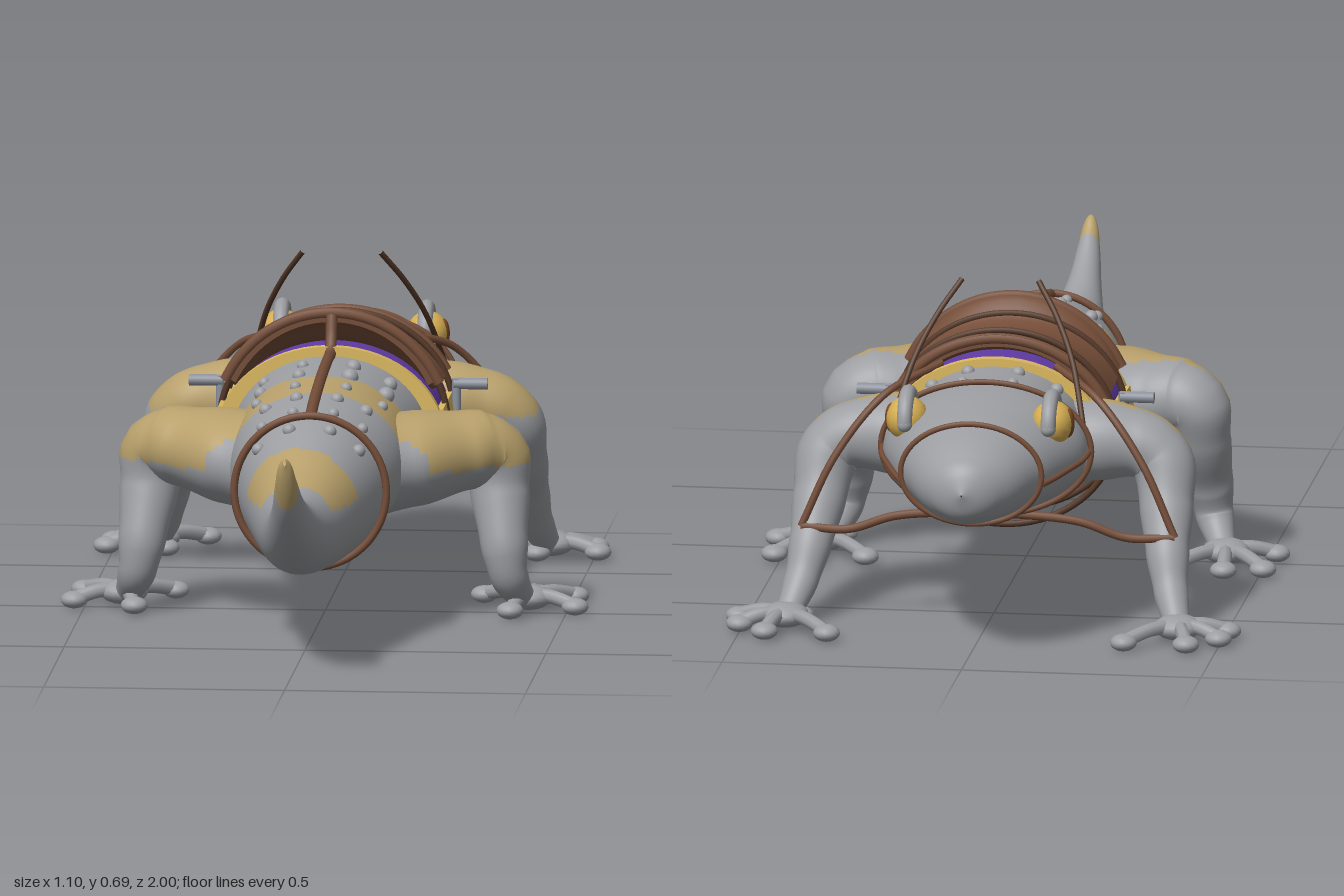
import * as THREE from 'three';
import { toCreasedNormals } from 'three/addons/utils/BufferGeometryUtils.js';

const mat = (name, color) => {
  const m = new THREE.MeshStandardMaterial({ color });
  m.name = name;
  return m;
};
const V = (x, y, z) => new THREE.Vector3(x, y, z);

// Body stations: z, half width, top, bottom
const STATIONS = [
  [-1, 0.002, 0.372, 0.368], [-0.985, 0.042, 0.412, 0.328], [-0.95, 0.085, 0.444, 0.302],
  [-0.85, 0.142, 0.482, 0.28], [-0.75, 0.182, 0.5, 0.264], [-0.64, 0.212, 0.512, 0.25],
  [-0.5, 0.193, 0.515, 0.228], [-0.36, 0.206, 0.516, 0.18], [-0.2, 0.21, 0.514, 0.168],
  [0, 0.19, 0.508, 0.184], [0.2, 0.182, 0.49, 0.178], [0.37, 0.15, 0.462, 0.16],
  [0.5, 0.12, 0.423, 0.165], [0.6, 0.098, 0.388, 0.176], [0.7, 0.076, 0.365, 0.196],
  [0.8, 0.054, 0.37, 0.24], [0.9, 0.034, 0.412, 0.31], [0.96, 0.023, 0.459, 0.378],
  [0.99, 0.013, 0.485, 0.437], [1, 0.003, 0.483, 0.47],
];
const spline = new THREE.CubicInterpolant(STATIONS.map((s) => s[0]), STATIONS.flatMap((s) => s.slice(1)), 3);
function section(z) {
  const [w, top, bottom] = spline.evaluate(z);
  return { w: Math.max(w, 0.001), cy: (top + bottom) / 2, h: Math.max((top - bottom) / 2, 0.001) };
}
const bodyPoint = (a, z, pad = 0) => {
  const s = section(z);
  return V((s.w + pad) * Math.cos(a), s.cy + (s.h + pad) * Math.sin(a), z);
};
const skinTop = (x, z) => {
  const s = section(z);
  return s.cy + s.h * Math.sqrt(Math.max(0, 1 - (x / s.w) ** 2));
};

// Surface closed in u, open in v; pick(point) gives each quad its material index
function loft(nu, nv, fn, pick = () => 0) {
  const pts = [], faces = [[], []];
  for (let j = 0; j <= nv; j++) for (let i = 0; i < nu; i++) pts.push(fn(i / nu, j / nv));
  for (let j = 0; j < nv; j++) for (let i = 0; i < nu; i++) {
    const k = (i + 1) % nu;
    const a = j * nu + i, b = j * nu + k, c = a + nu, d = b + nu;
    const mid = pts[a].clone().add(pts[d]).multiplyScalar(0.5);
    faces[pick(mid)].push(a, b, d, a, d, c);
  }
  const g = new THREE.BufferGeometry().setFromPoints(pts);
  g.setIndex([...faces[0], ...faces[1]]);
  g.addGroup(0, faces[0].length, 0);
  if (faces[1].length) g.addGroup(faces[0].length, faces[1].length, 1);
  g.computeVertexNormals();
  return g;
}

// Tapered limb along a path of [x, y, z, radius, depth factor along z]
function limb(path, s, pick) {
  const nv = 60, curve = new THREE.CatmullRomCurve3(path.map((p) => V(p[0] * s, p[1], p[2])));
  const frames = curve.computeFrenetFrames(nv);
  const center = (v) => curve.getPoint(v);
  return loft(40, nv, (u, v) => {
    const t = v * (path.length - 1), k = Math.min(Math.floor(t), path.length - 2);
    const blend = (i) => THREE.MathUtils.lerp(path[k][i], path[k + 1][i], THREE.MathUtils.smoothstep(t - k, 0, 1));
    const j = Math.round(v * nv), a = u * Math.PI * 2;
    const d = frames.normals[j].clone().multiplyScalar(Math.cos(a)).addScaledVector(frames.binormals[j], Math.sin(a));
    d.z *= blend(4);
    return center(v).addScaledVector(d, blend(3));
  }, pick);
}

export function createModel() {
  const root = new THREE.Group();
  root.name = 'saddledLizard';
  const skin = mat('skin grey', 0x9c9ea2), patch = mat('skin patch', 0xb8a06b);
  const trim = mat('blanket trim', 0xdcb960), cloth = mat('blanket purple', 0x5f3ba6);
  const leather = mat('saddle leather', 0x744d38), strapMat = mat('dark strap', 0x523626);
  const eyeMat = mat('eye yellow', 0xd6ae52), pupilMat = mat('pupil brown', 0x7a4a26);
  const metal = mat('stirrup metal', 0x8d929c);

  const add = (name, geo, m, parent = root) => {
    const mesh = new THREE.Mesh(geo, m);
    mesh.name = name;
    parent.add(mesh);
    return mesh;
  };
  const ball = (name, m, p, sx, sy, sz, parent) => {
    const b = add(name, new THREE.SphereGeometry(1, 16, 12), m, parent);
    b.position.copy(p);
    b.scale.set(sx, sy, sz);
  };
  const tube = (name, pts, r, m, closed = false, parent = root) =>
    add(name, new THREE.TubeGeometry(new THREE.CatmullRomCurve3(pts, closed), closed ? 72 : 36, r, 8, closed), m, parent);
  const ring = (name, r, m, fn) =>
    tube(name, Array.from({ length: 24 }, (_, i) => fn(i * Math.PI / 12)), r, m, true);

  // Body, head and tail with coloured patches
  const bodyPatch = (p) => {
    const hip = p.z > 0.08 - 0.25 * Math.abs(p.x) && p.z < 0.2 && p.y > 0.33;
    const tail = p.z > 0.5 + 0.2 * p.x && p.z < 0.66 + 0.2 * p.x && p.y > 0.32;
    return hip || tail || p.z > 0.955 ? 1 : 0;
  };
  add('body', loft(64, 220, (u, v) => bodyPoint(u * Math.PI * 2, -Math.cos(v * Math.PI)), bodyPatch), [skin, patch]);

  // Legs and feet
  const LEGS = [
    { name: 'hindLeg', palm: [0.42, -0.02],
      path: [[0.06, 0.32, 0.1, 0.11, 1.9], [0.19, 0.333, 0.07, 0.098, 1.5], [0.29, 0.344, 0.025, 0.083, 1.22],
        [0.35, 0.342, 0, 0.074, 1.05], [0.363, 0.26, 0.01, 0.062, 1], [0.375, 0.16, 0.05, 0.05, 1],
        [0.385, 0.09, 0.055, 0.04, 1], [0.41, 0.03, 0, 0.028, 1]],
      toes: [[0.32, -0.12], [0.43, -0.14], [0.51, -0.12], [0.52, 0.02], [0.39, 0.08]],
      pick: (p) => (p.z > 0.005 && p.z < 0.2 && p.y > 0.32 ? 1 : 0) },
    { name: 'frontLeg', palm: [0.41, -0.69],
      path: [[0.08, 0.35, -0.44, 0.1, 1.2], [0.21, 0.365, -0.45, 0.085, 1.05], [0.3, 0.36, -0.455, 0.072, 1],
        [0.347, 0.325, -0.465, 0.066, 1], [0.362, 0.24, -0.51, 0.056, 1], [0.372, 0.16, -0.57, 0.045, 1],
        [0.385, 0.09, -0.615, 0.036, 1], [0.405, 0.03, -0.67, 0.028, 1]],
      toes: [[0.31, -0.79], [0.44, -0.79], [0.5, -0.73], [0.51, -0.66], [0.385, -0.64]],
      pick: (p) => (p.z > -0.46 && p.y > 0.345 ? 1 : 0) },
  ];
  for (const s of [1, -1]) for (const leg of LEGS) {
    const g = new THREE.Group();
    g.name = (s > 0 ? 'left ' : 'right ') + leg.name;
    root.add(g);
    add('limb', limb(leg.path, s, leg.pick), [skin, patch], g);
    const [px, pz] = leg.palm;
    ball('palm', skin, V(px * s, 0.03, pz), 0.05, 0.026, 0.05, g);
    for (const [x, z] of leg.toes) {
      tube('toe', [V(px * s, 0.034, pz), V((px + x) / 2 * s, 0.034, (pz + z) / 2), V(x * s, 0.02, z)], 0.015, skin, false, g);
      ball('toePad', skin, V(x * s, 0.018, z), 0.028, 0.018, 0.028, g);
    }
  }

  // Eyes with brow ridges
  for (const s of [1, -1]) {
    ball('eye', eyeMat, V(0.152 * s, 0.463, -0.715), 0.044, 0.046, 0.052);
    ball('pupil', pupilMat, V(0.184 * s, 0.463, -0.715), 0.014, 0.031, 0.021);
    const brow = add('brow', new THREE.TorusGeometry(0.055, 0.016, 10, 28, Math.PI), skin);
    brow.position.set(0.15 * s, 0.462, -0.715);
    brow.rotation.y = Math.PI / 2;
    for (const e of [-1, 1]) ball('browEnd', skin, V(0.15 * s, 0.462, -0.715 + 0.055 * e), 0.016, 0.016, 0.016);
  }

  // Rows of back bumps
  [-0.58, -0.49, -0.04, 0.05, 0.14, 0.23, 0.32, 0.41].forEach((z, i) => {
    for (const x of [-0.13, -0.05, 0.055, 0.13]) {
      const bx = x * (z > 0.2 ? 0.8 : 1), r = (i % 2 ? 0.014 : 0.012) + (x > 0 && z > -0.1 && z < 0.1 ? 0.004 : 0);
      ball('backBump', skin, V(bx, skinTop(bx, z), z), r, r, r);
    }
  });

  // Arched shell over the back: outer and inner half ellipses, closed at both ends
  const arch = (rx, top, innerX, innerTop, a0, z0, z1) => {
    const n = 64, nv = 24, cy = 0.34;
    return toCreasedNormals(loft(n, nv + 2, (u, v) => {
      const j = Math.round(v * (nv + 2)), z = z0 + (z1 - z0) * THREE.MathUtils.clamp((j - 1) / nv, 0, 1);
      const outer = u < 0.5, k = Math.min((outer ? u : u - 0.5) * 2 * n / (n - 2), 1);
      const a = a0 + (outer ? k : 1 - k) * (Math.PI - 2 * a0);
      const inside = !outer || j === 0 || j === nv + 2;
      return V((inside ? innerX : rx) * Math.cos(a), cy + ((inside ? innerTop(z) : top(z)) - cy) * Math.sin(a), z);
    }), 0.7);
  };

  // Blanket with trim along every edge
  add('blanket', arch(0.232, () => 0.526, 0.205, () => 0.505, 0.18, -0.447, -0.14), cloth);
  add('blanketRearTrim', arch(0.238, () => 0.532, 0.205, () => 0.503, 0.1, -0.143, -0.12), trim);
  add('blanketFrontTrim', arch(0.238, () => 0.532, 0.205, () => 0.503, 0.1, -0.462, -0.44), trim);
  for (const s of [1, -1]) {
    const hem = add('blanketHem', new THREE.BoxGeometry(0.016, 0.044, 0.32), trim);
    hem.position.set(0.23 * s, 0.38, -0.29);
    hem.rotation.z = 0.18 * s;
  }

  // Saddle, hollow under its raised cantle and pommel
  const seat = new THREE.CubicInterpolant([-0.415, -0.385, -0.3, -0.22, -0.185, -0.16], [0.572, 0.56, 0.548, 0.56, 0.596, 0.603], 1);
  const seatTop = (z) => seat.evaluate(z)[0];
  add('saddle', arch(0.246, seatTop, 0.224, (z) => seatTop(z) - 0.026, 0.47, -0.415, -0.16), leather);
  const roll = (name, z, rx, top) => tube(name, Array.from({ length: 15 }, (_, i) => {
    const a = 0.45 + i / 14 * (Math.PI - 0.9);
    return V(rx * Math.cos(a), 0.34 + (top - 0.34) * Math.sin(a), z);
  }), 0.012, leather);
  roll('cantleRoll', -0.168, 0.246, 0.595);
  roll('pommelRoll', -0.408, 0.241, 0.562);

  // Girths
  for (const z of [-0.21, -0.36])
    ring('girth', 0.007, strapMat, (a) => V(0.236 * Math.cos(a), 0.362 + 0.206 * Math.sin(a), z));

  // Tail ring and strap along the spine
  ring('tailRing', 0.008, leather, (a) => bodyPoint(a, 0.37, 0.008));
  const spine = [0.37, 0.28, 0.19, 0.1, 0.01, -0.07, -0.12].map((z) => V(0, skinTop(0, z) + 0.005, z));
  tube('spineStrap', [...spine, V(0, 0.545, -0.14), V(0, 0.592, -0.157)], 0.012, leather);

  // Bridle, reins and breast straps
  ring('noseBand', 0.006, leather, (a) => bodyPoint(a, -0.85, 0.005));
  ring('neckBand', 0.006, leather, (a) => bodyPoint(a, -0.62, 0.008));
  for (const s of [1, -1]) {
    const cheek = [-0.62, -0.68, -0.74, -0.8, -0.85].map((z) => {
      const p = bodyPoint(0, z, 0.004);
      return V(p.x * s, 0.38 + (z + 0.62) * 0.08, z);
    });
    tube('cheekStrap', cheek, 0.006, leather);
    tube('rein', [V(0.08 * s, 0.685, -0.4), V(0.125 * s, 0.62, -0.447), V(0.165 * s, 0.54, -0.505),
      V(0.205 * s, 0.4, -0.605), V(0.212 * s, 0.38, -0.62)], 0.006, strapMat);
    const knot = V(0.39 * s, 0.195, -0.592);
    tube('breastStrapUpper', [V(0.12 * s, 0.51, -0.42), V(0.225 * s, 0.465, -0.53), V(0.32 * s, 0.345, -0.575), knot], 0.008, leather);
    tube('breastStrapLower', [knot, V(0.29 * s, 0.193, -0.596), V(0.19 * s, 0.225, -0.598), V(0, 0.236, -0.585)], 0.009, leather);

    // Stirrup
    const stirrup = new THREE.Group();
    stirrup.name = 'stirrup';
    stirrup.position.set(0.245 * s, 0.37, -0.32);
    root.add(stirrup);
    add('stirrupBar', new THREE.CylinderGeometry(0.009, 0.009, 0.13, 12), metal, stirrup);
    const peg = add('stirrupPeg', new THREE.CylinderGeometry(0.012, 0.012, 0.07, 12), metal, stirrup);
    peg.position.set(0.03 * s, 0.055, 0);
    peg.rotation.z = Math.PI / 2;
    add('stirrupTread', new THREE.BoxGeometry(0.04, 0.012, 0.036), metal, stirrup).position.set(0.01 * s, -0.06, 0);
  }
  return root;
}
